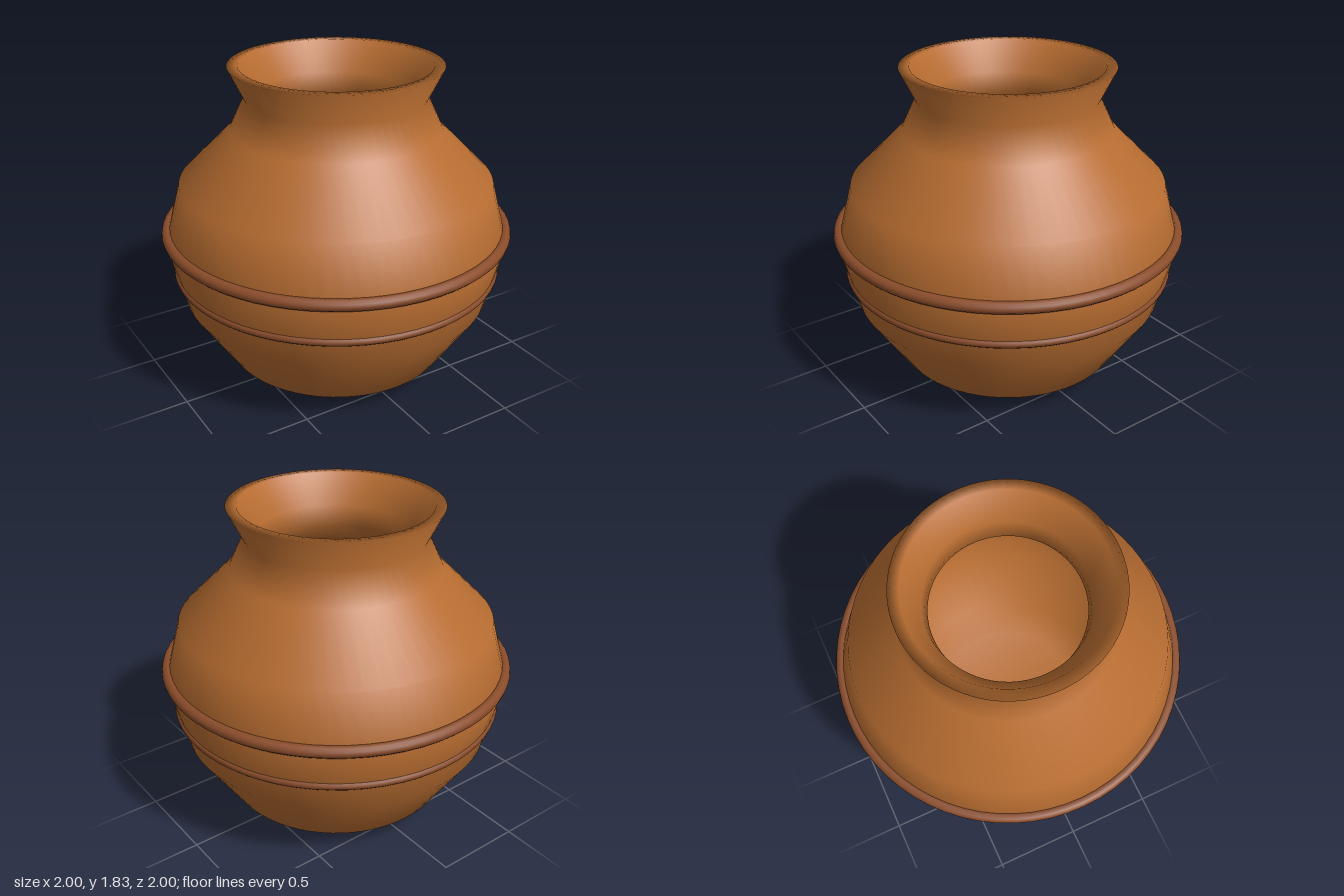
import * as THREE from 'three';

const SEGMENTS = 64;

export function createModel() {
  const group = new THREE.Group();
  const clay = new THREE.MeshStandardMaterial({ color: 0xb86d31 });
  clay.name = 'terracotta';
  const darkClay = new THREE.MeshStandardMaterial({ color: 0x8a4c2a });
  darkClay.name = 'dark terracotta';

  // Hollow pot: up the outside, over the lip, down the inside to the floor
  const profile = [
    [0, 0], [0.475, 0], [0.65, 0.12], [0.885, 0.48], [0.975, 0.84],
    [0.885, 1.18], [0.59, 1.475], [0.505, 1.655], [0.59, 1.83],
    [0.53, 1.83], [0.437, 1.655], [0.415, 1.54], [0.52, 1.42],
    [0.81, 1.15], [0.9, 0.84], [0.81, 0.5], [0.59, 0.17], [0.44, 0.07], [0, 0.07],
  ].map(([r, y]) => new THREE.Vector2(r, y));
  const pot = new THREE.Mesh(new THREE.LatheGeometry(profile, SEGMENTS), clay);
  pot.name = 'potBody';
  group.add(pot);

  // Raised bands around the belly
  const addBand = (name, radius, tube, y) => {
    const geometry = new THREE.TorusGeometry(radius, tube, 12, SEGMENTS);
    geometry.rotateX(Math.PI / 2);
    const band = new THREE.Mesh(geometry, darkClay);
    band.name = name;
    band.position.y = y;
    group.add(band);
  };
  addBand('upperBand', 0.967, 0.033, 0.892);
  addBand('lowerBand', 0.92, 0.025, 0.655);

  return group;
}
